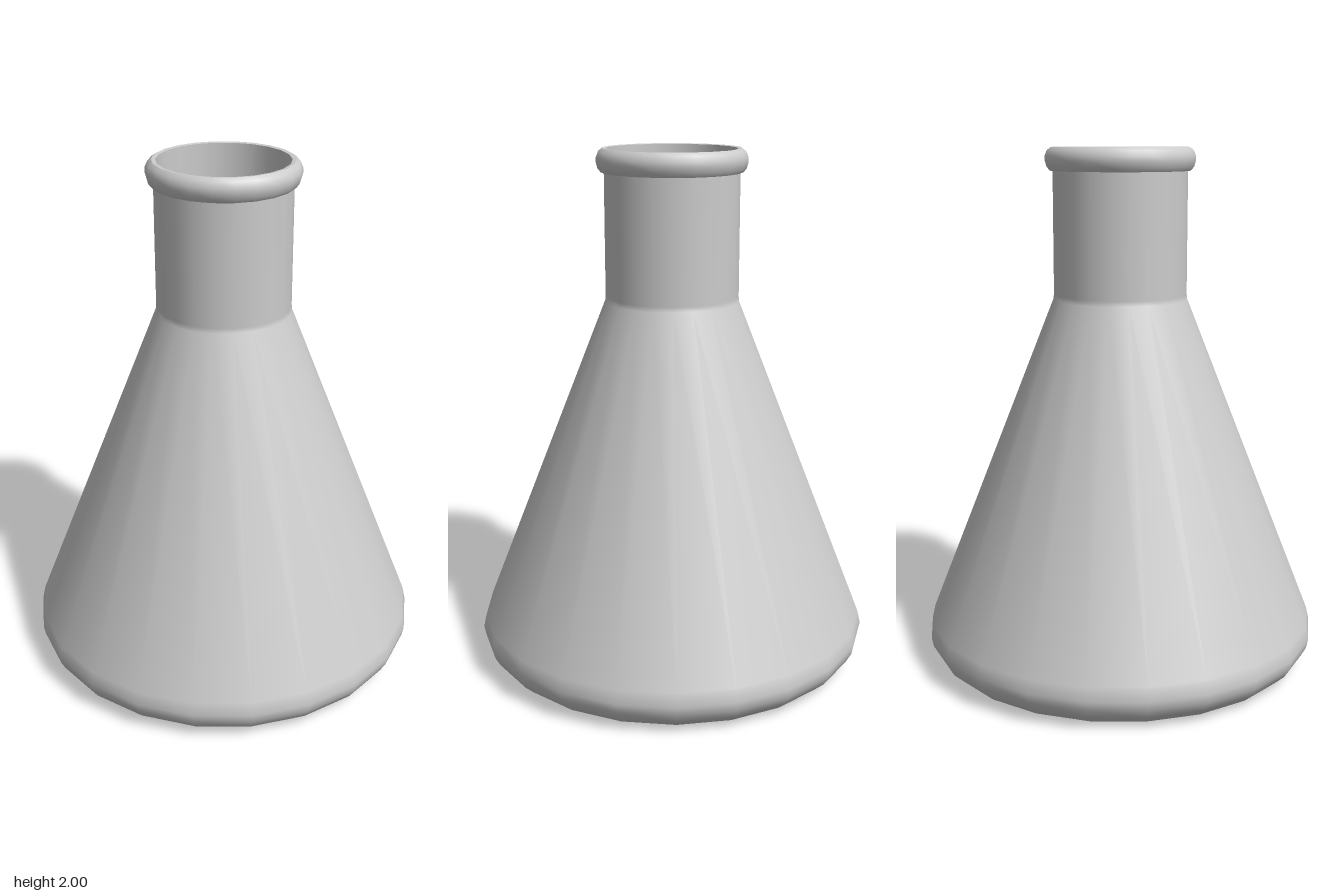
import * as THREE from 'three';

const SIDES = 22;

export function createModel() {
  const flask = new THREE.Group();
  flask.name = 'conicalFlask';
  const glass = new THREE.MeshStandardMaterial({ color: 0xcccccc });

  // Each profile is one smooth section; separate sections keep crisp edges.
  // Rising profiles face outward, falling ones face inward.
  const turn = (name, profile) => {
    const points = profile.map(([r, y]) => new THREE.Vector2(r, y));
    const mesh = new THREE.Mesh(new THREE.LatheGeometry(points, SIDES), glass);
    mesh.name = name;
    flask.add(mesh);
  };

  // Underside and rounded foot running into the cone and neck
  turn('base', [[0, 0], [0.67, 0]]);
  turn('body', [
    [0.67, 0], [0.705, 0.018], [0.74, 0.05], [0.76, 0.085], [0.767, 0.12],
    [0.756, 0.17], [0.257, 1.43], [0.255, 1.45], [0.255, 1.915],
  ]);

  // Rolled lip at the mouth
  turn('lipUnderside', [[0.255, 1.913], [0.266, 1.913]]);
  turn('lip', [
    [0.266, 1.913], [0.278, 1.928], [0.284, 1.95], [0.284, 1.968],
    [0.276, 1.988], [0.26, 2],
  ]);
  turn('mouthRing', [[0.26, 2], [0.245, 1.998]]);

  // Thin inner wall and floor
  turn('innerWall', [
    [0.245, 1.998], [0.245, 1.45], [0.247, 1.43], [0.744, 0.17],
    [0.755, 0.12], [0.748, 0.085], [0.73, 0.055], [0.7, 0.028], [0.668, 0.012],
  ]);
  turn('innerFloor', [[0.668, 0.012], [0, 0.012]]);

  return flask;
}
